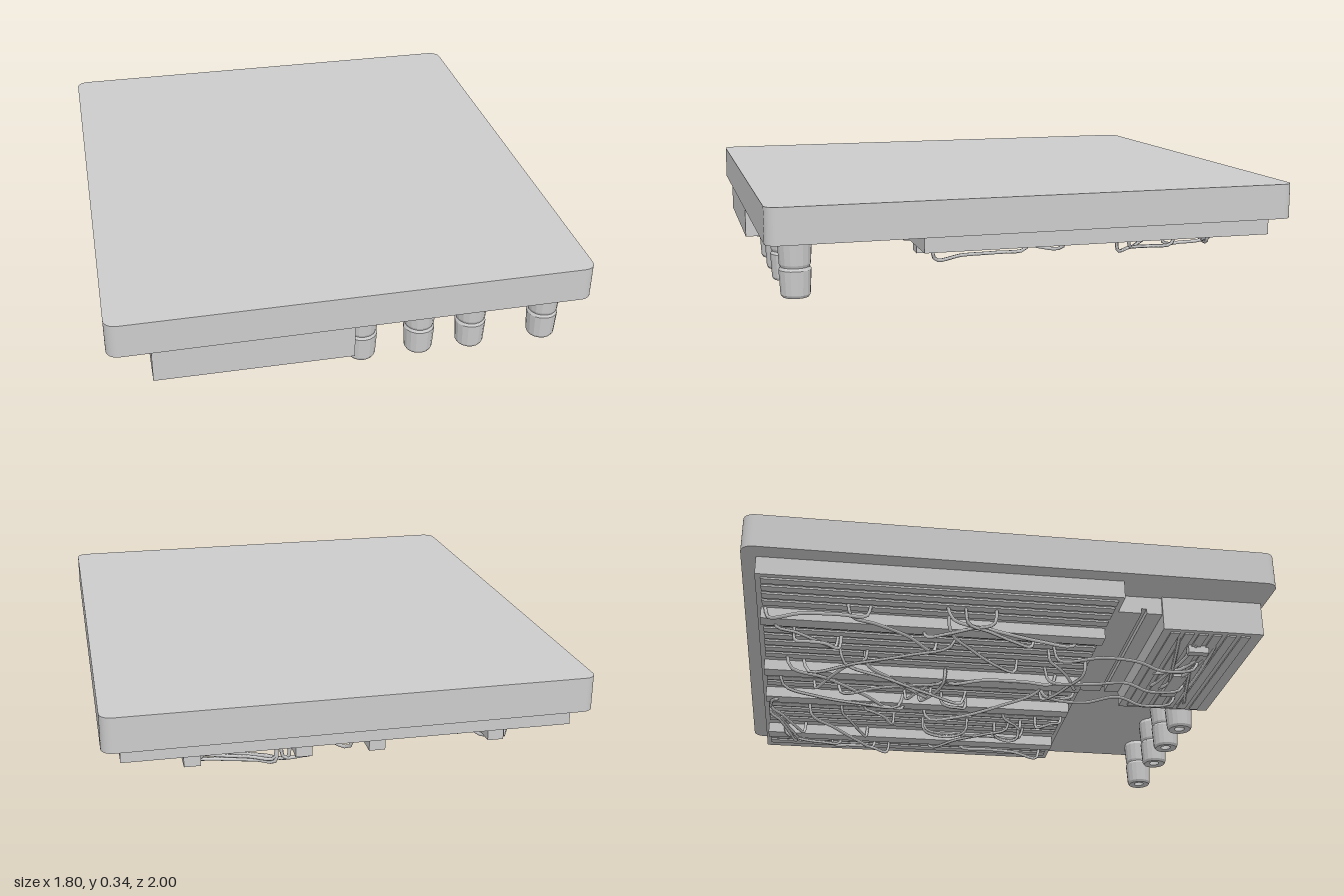
import * as THREE from 'three';

const mat = new THREE.MeshStandardMaterial({ color: 0xcccccc });
const knobMat = new THREE.MeshStandardMaterial({ color: 0xcccccc, flatShading: true });

export function createModel() {
  const root = new THREE.Group();

  const add = (name, geo, parent = root, m = mat) => {
    const mesh = new THREE.Mesh(geo, m);
    mesh.name = name;
    parent.add(mesh);
    return mesh;
  };
  // Box given by its limits on each axis
  const box = (name, x0, x1, y0, y1, z0, z1, parent = root) =>
    add(name, new THREE.BoxGeometry(x1 - x0, y1 - y0, z1 - z0), parent)
      .position.set((x0 + x1) / 2, (y0 + y1) / 2, (z0 + z1) / 2);
  const group = (name) => {
    const g = new THREE.Group();
    g.name = name;
    root.add(g);
    return g;
  };

  // Rounded top slab, turned very slightly
  const w = 0.893, d = 0.991, r = 0.045;
  const outline = new THREE.Shape();
  outline.absarc(w - r, d - r, r, 0, Math.PI / 2);
  outline.absarc(-w + r, d - r, r, Math.PI / 2, Math.PI);
  outline.absarc(-w + r, -d + r, r, Math.PI, Math.PI * 1.5);
  outline.absarc(w - r, -d + r, r, Math.PI * 1.5, Math.PI * 2);
  const slabGeo = new THREE.ExtrudeGeometry(outline, { depth: 0.132, bevelEnabled: false, curveSegments: 6 });
  slabGeo.rotateX(-Math.PI / 2);
  const slab = add('topSlab', slabGeo);
  slab.position.y = 0.21;
  slab.rotation.y = 0.008;

  // Circuit board bed with narrow raised rails
  const boards = group('circuitBoards');
  box('boardBed', -0.83, 0.82, 0.14, 0.212, -0.93, 0.42, boards);
  const rails = [-0.55, -0.1, 0.17, 0.57];
  rails.forEach((x) => box('raisedRail', x - 0.03, x + 0.03, 0.095, 0.141, -0.915, 0.4, boards));
  // Thin contact strips between the rails
  for (let x = -0.79; x < 0.8; x += 0.055) {
    if (rails.every((rx) => Math.abs(rx - x) > 0.055)) {
      box('contactStrip', x - 0.018, x + 0.018, 0.133, 0.141, -0.91, 0.4, boards);
    }
  }

  // Small front board housing, its link to the bed and small components
  const front = group('frontHousing');
  box('housing', -0.73, 0, 0.075, 0.212, 0.59, 0.98, front);
  box('linkUpper', -0.72, 0, 0.16, 0.212, 0.41, 0.6, front);
  box('linkLowerFront', -0.72, 0, 0.14, 0.161, 0.53, 0.6, front);
  box('linkLowerRear', -0.72, 0, 0.14, 0.161, 0.41, 0.51, front);
  for (let z = 0.64; z < 0.95; z += 0.055) {
    box('contactStrip', -0.71, -0.02, 0.069, 0.076, z - 0.018, z + 0.018, front);
  }
  box('component', -0.61, -0.58, 0.045, 0.076, 0.72, 0.8, front);
  box('component', -0.36, -0.16, 0.058, 0.076, 0.73, 0.79, front);

  // Four control knobs with a recessed lower end
  const knobProfile = [
    [0, 0.03], [0.022, 0.03], [0.022, 0.003], [0.028, 0], [0.047, 0], [0.053, 0.01],
    [0.058, 0.098], [0.052, 0.108], [0.056, 0.118], [0.061, 0.195], [0.054, 0.212],
  ].map(([x, y]) => new THREE.Vector2(x, y));
  [0.05, 0.27, 0.47, 0.755].forEach((x) => {
    const geo = new THREE.LatheGeometry(knobProfile, 16);
    add('controlKnob', geo, root, knobMat).position.set(x, 0, 0.87);
  });

  // Loose wires hanging beneath the boards
  let seed = 17;
  const rnd = (a, b) => {
    seed = (seed * 16807) % 2147483647;
    return a + (b - a) * (seed / 2147483647);
  };
  const wires = group('wires');
  const wire = (points, segments = 22) => {
    const curve = new THREE.CatmullRomCurve3(points.map((p) => new THREE.Vector3(...p)));
    add('wire', new THREE.TubeGeometry(curve, segments, 0.007, 5), wires);
  };
  // Jumper: leaves the board, sags, bows sideways and returns
  const jumper = (x0, z0, x1, z1, bow, top, low) => {
    const at = (t, y) => [
      x0 + (x1 - x0) * t + bow * Math.sin(Math.PI * t), y, z0 + (z1 - z0) * t,
    ];
    wire([at(0, top), at(0.04, low + 0.01), at(0.3, low), at(0.65, low + 0.004), at(0.96, low + 0.01), at(1, top)]);
  };
  for (let i = 0; i < 40; i++) {
    const x = rnd(-0.65, 0.68), z = rnd(-0.88, 0.34);
    const x1 = THREE.MathUtils.clamp(x + rnd(-0.4, 0.4), -0.68, 0.7);
    const z1 = THREE.MathUtils.clamp(z + rnd(-0.6, 0.6), -0.9, 0.38);
    jumper(x, z, x1, z1, rnd(-0.07, 0.07), 0.138, rnd(0.065, 0.085));
  }
  for (let i = 0; i < 6; i++) {
    jumper(rnd(-0.68, -0.4), rnd(0.64, 0.95), rnd(-0.35, -0.05), rnd(0.64, 0.95), 0.02, 0.078, 0.062);
  }
  // Leads from the front housing back to the boards
  [-0.47, -0.27, -0.13].forEach((x, i) => {
    wire([[x, 0.078, 0.8], [x, 0.04, 0.78], [x + 0.02, 0.035, 0.66], [x - 0.02, 0.05, 0.55],
      [x + 0.05 * i, 0.068, 0.42], [x + 0.06, 0.075, 0.25], [x + 0.06, 0.138, 0.23]], 30);
  });

  return root;
}
